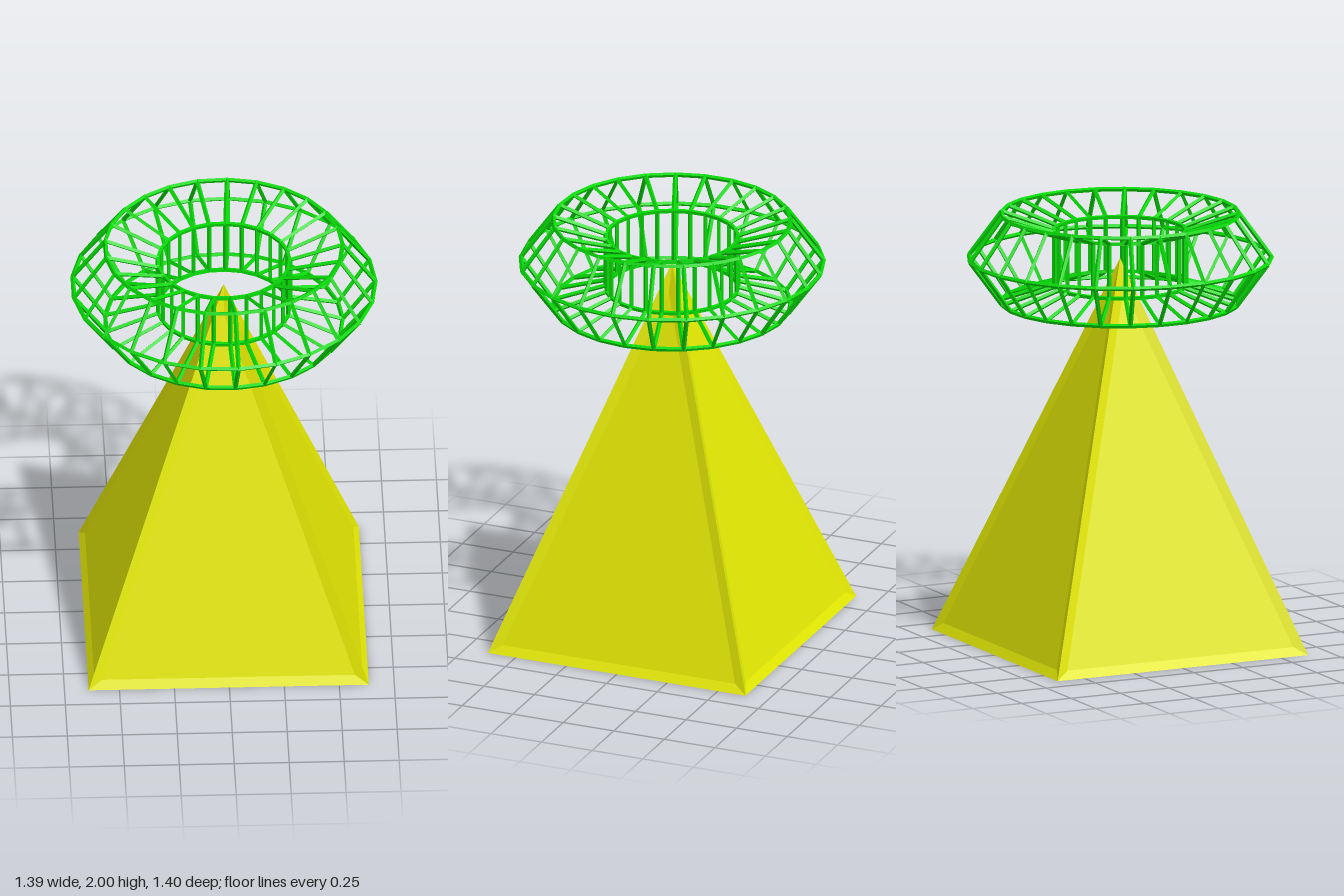
import * as THREE from 'three';
import { mergeGeometries } from 'three/addons/utils/BufferGeometryUtils.js';

const CENTRE_X = -0.003;

// Pyramid whose four sides have a shallow sunken panel inside a sloping border
function pyramidGeometry(half, height, border, depth) {
  const apex = new THREE.Vector3(0, height, 0);
  const base = [[-1, 1], [1, 1], [1, -1], [-1, -1]]
    .map(([x, z]) => new THREE.Vector3(x * half, 0, z * half));
  const points = [];
  const tri = (...corners) => points.push(...corners);

  for (let i = 0; i < 4; i++) {
    const outer = [base[i], base[(i + 1) % 4], apex];
    const face = new THREE.Triangle(...outer);
    const normal = face.getNormal(new THREE.Vector3());
    const sides = outer.map((_, k) => outer[(k + 1) % 3].distanceTo(outer[(k + 2) % 3]));
    const perimeter = sides[0] + sides[1] + sides[2];
    const inradius = 2 * face.getArea() / perimeter;
    const incentre = new THREE.Vector3();
    outer.forEach((p, k) => incentre.addScaledVector(p, sides[k] / perimeter));
    const inner = outer.map((p) =>
      p.clone().lerp(incentre, border / inradius).addScaledVector(normal, -depth));
    tri(...inner);
    for (let k = 0; k < 3; k++) {
      const n = (k + 1) % 3;
      tri(outer[k], outer[n], inner[n]);
      tri(outer[k], inner[n], inner[k]);
    }
  }
  // Underside
  tri(base[3], base[2], base[1]);
  tri(base[3], base[1], base[0]);

  const geometry = new THREE.BufferGeometry().setFromPoints(points);
  geometry.computeVertexNormals();
  return geometry;
}

// Diamond-section rod from a to b with one ridge facing along "out"
function rod(a, b, out, radius) {
  const y = b.clone().sub(a);
  const length = y.length();
  y.normalize();
  const x = new THREE.Vector3().crossVectors(y, out).normalize();
  const z = new THREE.Vector3().crossVectors(x, y);
  const geometry = new THREE.CylinderGeometry(radius, radius, length, 4).toNonIndexed();
  const matrix = new THREE.Matrix4().makeBasis(x, y, z)
    .setPosition(a.clone().add(b).multiplyScalar(0.5));
  geometry.applyMatrix4(matrix);
  geometry.computeVertexNormals();
  return geometry;
}

export function createModel() {
  const yellow = new THREE.MeshStandardMaterial({ color: 0xe1e602 });
  yellow.name = 'yellow';
  const green = new THREE.MeshStandardMaterial({ color: 0x06d806 });
  green.name = 'green';

  const model = new THREE.Group();
  model.name = 'pyramidWithRing';

  const pyramid = new THREE.Mesh(pyramidGeometry(0.637, 1.785, 0.045, 0.0125), yellow);
  pyramid.name = 'pyramid';
  pyramid.position.x = CENTRE_X;
  model.add(pyramid);

  // Wire ring: 25 pentagonal ribs joined by five hoops
  const RIBS = 25, SIDES = 5, RING = 0.4746, TUBE = 0.2145, ROD = 0.0105;
  const onRing = (i, r, angle) => {
    const t = (i / RIBS) * Math.PI * 2;
    const d = RING + r * Math.cos(angle);
    return new THREE.Vector3(d * Math.cos(t), r * Math.sin(angle), d * Math.sin(t));
  };
  const ribs = [], hoops = [];
  for (let i = 0; i < RIBS; i++) {
    for (let j = 0; j < SIDES; j++) {
      const step = (Math.PI * 2) / SIDES;
      const a0 = j * step, a1 = (j + 1) * step, mid = (j + 0.5) * step;
      const point = onRing(i, TUBE, a0);
      const ribOut = onRing(i, 1, mid).sub(onRing(i, 0, mid));
      const hoopOut = onRing(i + 0.5, 1, a0).sub(onRing(i + 0.5, 0, a0));
      ribs.push(rod(point, onRing(i, TUBE, a1), ribOut, ROD));
      hoops.push(rod(point, onRing(i + 1, TUBE, a0), hoopOut, ROD));
    }
  }
  const ring = new THREE.Group();
  ring.name = 'wireRing';
  for (const [name, parts] of [['ringRibs', ribs], ['ringHoops', hoops]]) {
    const mesh = new THREE.Mesh(mergeGeometries(parts), green);
    mesh.name = name;
    ring.add(mesh);
  }
  ring.position.set(CENTRE_X, 1.7865, 0);
  model.add(ring);

  return model;
}
